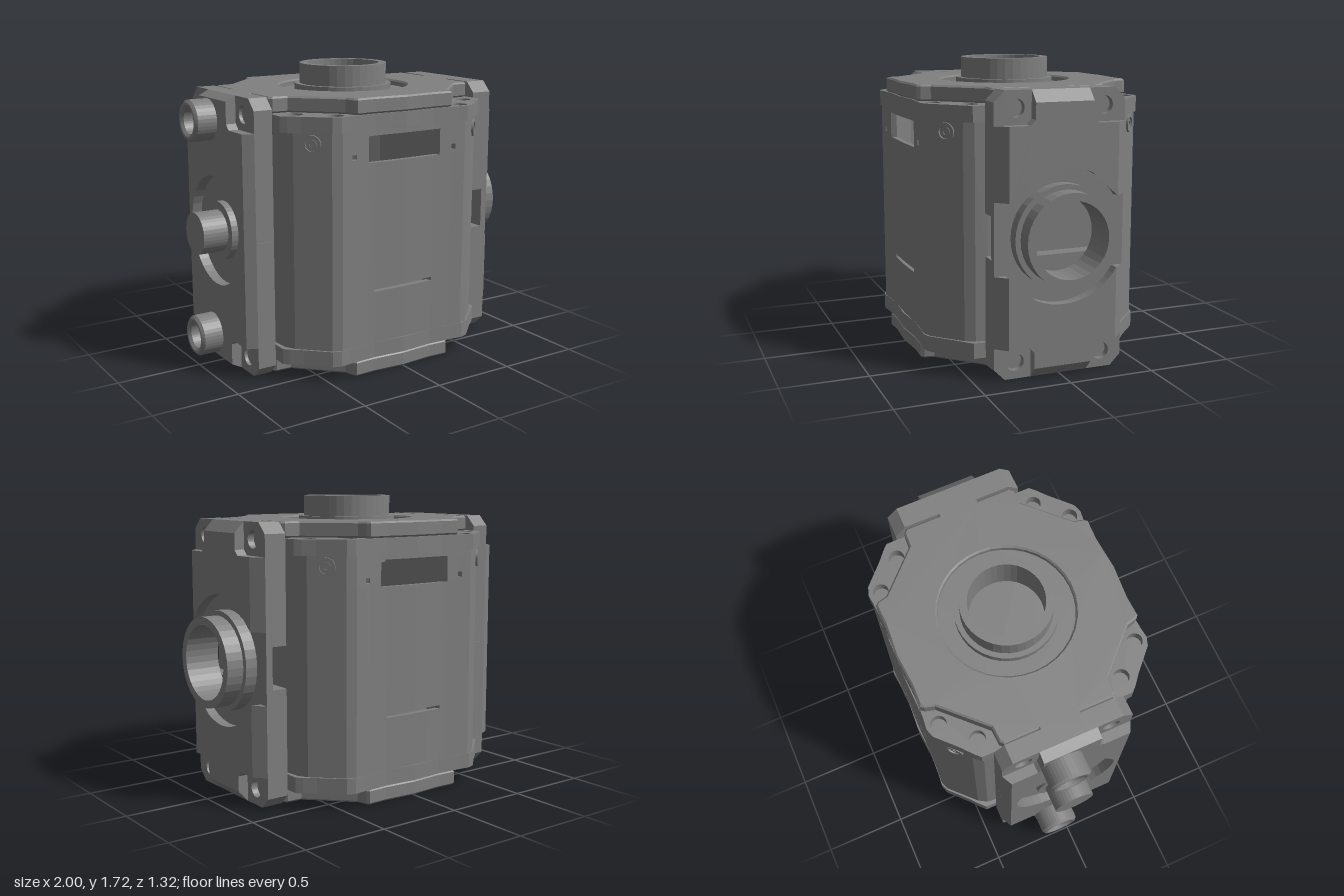
import * as THREE from 'three';
import { mergeGeometries } from 'three/addons/utils/BufferGeometryUtils.js';

const H = 1.59, MID = H / 2;
const grey = new THREE.MeshStandardMaterial({ color: 0x808080 });
grey.name = 'machined grey';

const shapeOf = (pts) => new THREE.Shape(pts.map(([x, y]) => new THREE.Vector2(x, y)));
const punch = (shape, x, y, r) => {
  shape.holes.push(new THREE.Path().absarc(x, y, r, 0, Math.PI * 2, true));
  return shape;
};
const disc = (r, hole = 0, x = 0, y = 0) => {
  const s = new THREE.Shape().absarc(x, y, r, 0, Math.PI * 2, false);
  return hole ? punch(s, x, y, hole) : s;
};
const extrude = (shape, a, b, bevel = 0) => new THREE.ExtrudeGeometry(shape, {
  depth: b - a - 2 * bevel, curveSegments: 18, bevelEnabled: bevel > 0, bevelSegments: 1,
  bevelSize: bevel, bevelThickness: bevel, bevelOffset: -bevel,
}).translate(0, 0, a + bevel);
// Slabs stacked along y (shape in x, -z) or along x (shape in -z, y)
const slabY = (shape, a, b, bevel) => extrude(shape, a, b, bevel).rotateX(-Math.PI / 2);
const slabX = (shape, a, b, bevel) => extrude(shape, a, b, bevel).rotateY(Math.PI / 2);

function add(parent, name, geometry) {
  const mesh = new THREE.Mesh(geometry, grey);
  mesh.name = name;
  parent.add(mesh);
  return mesh;
}

// Mirrors a quarter outline (from the side towards the front) into a closed loop
function fourFold(q) {
  const flip = (sx, sy) => q.map(([x, y]) => [x * sx, y * sy]);
  const loop = [...q, ...flip(-1, 1).reverse(), ...flip(-1, -1), ...flip(1, -1).reverse()];
  return loop.filter(([x, y], i) => {
    const [px, py] = loop[(i + loop.length - 1) % loop.length];
    return Math.hypot(x - px, y - py) > 1e-6;
  });
}

const capEdge = [[0.785, 0.12], [0.69, 0.12], [0.69, 0.45], [0.66, 0.48], [0.60, 0.53], [0.48, 0.645],
  [0.43, 0.662], [0.37, 0.655], [0.2, 0.645], [0.1, 0.652], [0, 0.66]];
const capRaised = [[0.785, 0.12], [0.69, 0.12], [0.69, 0.32], [0.67, 0.34], [0.58, 0.345], [0.35, 0.575],
  [0.335, 0.63], [0.32, 0.65], [0.2, 0.645], [0.1, 0.652], [0, 0.66]];
const bodyEdge = [[0.67, 0.36], [0.662, 0.43], [0.63, 0.485], [0.475, 0.635], [0.42, 0.656], [0.355, 0.652],
  [0.325, 0.65], [0.245, 0.646], [0.2, 0.645], [0.1, 0.648], [0, 0.65]];

// End cap with lowered corner pads and bolt holes
function endCap(name, recess) {
  const cap = new THREE.Group();
  cap.name = name;
  const pads = shapeOf(fourFold(capEdge));
  for (const sx of [-1, 1]) for (const sz of [-1, 1]) {
    punch(pads, sx * 0.425, sz * 0.59, 0.045);
    punch(pads, sx * 0.585, sz * 0.43, 0.045);
  }
  add(cap, 'capBase', slabY(shapeOf(fourFold(capEdge)), 0, 0.03));
  add(cap, 'cornerPads', slabY(pads, 0.03, 0.09));
  add(cap, 'raisedFace', slabY(punch(shapeOf(fourFold(capRaised)), 0, 0, recess), 0.09, 0.18, 0.01));
  return cap;
}

// Housing wall between two heights; cuts are |x| ranges opened in front and back
function wall(y0, y1, cuts) {
  const loop = fourFold(bodyEdge), parts = [];
  loop.forEach((p, i) => {
    const q = loop[(i + 1) % loop.length];
    const mx = Math.abs(p[0] + q[0]) / 2;
    if (cuts.some(([a, b]) => mx > a && mx < b)) return;
    const k = 0.95;
    parts.push(slabY(shapeOf([p, q, [q[0] * k, q[1] * k], [p[0] * k, p[1] * k]]), y0, y1));
  });
  return mergeGeometries(parts);
}

// Side plate, built facing +x, with chamfered edges, corner pockets and a round recess
function sidePlate(name, { floor, face, chamfer, recess, bore, notch }) {
  const plate = new THREE.Group();
  plate.name = name;
  const w = 0.385, c = 0.062;
  const octagon = (y0, y1, c0, c1) => shapeOf([[-w, y0 + c0], [-w + c0, y0], [w - c0, y0], [w, y0 + c0],
    [w, y1 - c1], [w - c1, y1], [c1 - w, y1], [-w, y1 - c1]].filter(
    ([x, y], i, l) => i === 0 || x !== l[i - 1][0] || y !== l[i - 1][1]));
  const gap = notch ? 0.12 : 0.001;
  add(plate, 'innerTop', slabX(octagon(MID + gap, H, 0, c), 0.7, 0.79));
  add(plate, 'innerBottom', slabX(octagon(0, MID - gap, c, 0), 0.7, 0.79));
  const web = octagon(0, H, c, c);
  for (const z of [-0.26, 0.26]) for (const y of [0.095, H - 0.095]) punch(web, z, y, 0.05);
  if (bore) punch(web, 0, MID, bore);
  add(plate, 'web', slabX(web, 0.79, floor));

  const zi = Math.min(recess, w - chamfer), h = Math.sqrt(recess ** 2 - zi ** 2), a0 = Math.atan2(h, zi);
  for (const s of [1, -1]) {
    const pts = [[w, h], [w, 0.61], [0.2, 0.61], [0.17, 0.64], [0.17, MID],
      [-0.17, MID], [-0.17, 0.64], [-0.2, 0.61], [-w, 0.61], [-w, h]];
    for (let i = 0; i <= 20; i++) {
      const a = Math.PI - a0 - (Math.PI - 2 * a0) * i / 20;
      pts.push([Math.cos(a) * recess, Math.sin(a) * recess]);
    }
    const g = slabX(shapeOf(pts.map(([z, y]) => [z, MID + s * y])), floor, face);
    const p = g.attributes.position;
    // Pull the outer rim inwards to form the chamfer
    for (let i = 0; i < p.count; i++) if (p.getX(i) > face - 1e-4) {
      p.setZ(i, THREE.MathUtils.clamp(p.getZ(i), chamfer - w, w - chamfer));
      p.setY(i, THREE.MathUtils.clamp(p.getY(i), chamfer, H - chamfer));
    }
    g.computeVertexNormals();
    add(plate, s > 0 ? 'outerTop' : 'outerBottom', g);
  }
  return plate;
}

export function createModel() {
  const model = new THREE.Group();
  model.name = 'pumpHousing';

  // Top cap with its round port
  const top = endCap('topCap', 0.385);
  top.position.y = 1.41;
  model.add(top);
  add(model, 'topRecessFloor', slabY(disc(0.39, 0.215), 1.48, 1.555));
  add(model, 'topCollar', slabY(disc(0.29, 0.215), 1.55, 1.6));
  add(model, 'topPort', slabY(disc(0.26, 0.215), 1.55, 1.72));
  add(model, 'topPortHub', slabY(disc(0.24), 1.32, 1.415));
  add(model, 'topPortHubRim', slabY(disc(0.25), 1.385, 1.412));
  add(model, 'innerStub', slabY(disc(0.13, 0, 0.11, 0), 1.275, 1.325));

  // Bottom cap with a drilled, sunken disc
  const bottom = endCap('bottomCap', 0.5);
  bottom.rotation.x = Math.PI;
  bottom.position.y = 0.18;
  model.add(bottom);
  const drilled = punch(disc(0.44), 0, 0, 0.012);
  for (let i = 0; i < 6; i++) {
    const a = (i + 0.5) * Math.PI / 3;
    punch(drilled, Math.cos(a) * 0.36, Math.sin(a) * 0.36, i % 2 ? 0.03 : 0.045);
  }
  add(model, 'bottomDisc', slabY(drilled, 0.04, 0.095));

  // Housing shell with windows, pinholes and slots
  const window = [0, 0.245], pin = [0.325, 0.355];
  const body = new THREE.Group();
  body.name = 'housing';
  model.add(body);
  [[0.175, 0.485, []], [0.485, 0.505, [[0, 0.2]]], [0.505, 1.23, []], [1.23, 1.255, [window]],
    [1.255, 1.285, [window, pin]], [1.285, 1.38, [window]], [1.38, 1.415, []],
  ].forEach(([a, b, cuts]) => add(body, 'housingWall', wall(a, b, cuts)));
  add(body, 'innerCore', slabY(disc(0.5), 0.17, 0.7));

  // Screws on the diagonal faces
  for (const sx of [-1, 1]) for (const sz of [-1, 1]) {
    const screw = new THREE.Group();
    screw.name = 'cornerScrew';
    add(screw, 'screwRim', extrude(disc(0.052, 0.036), -0.01, 0.012));
    add(screw, 'screwSocket', extrude(disc(0.026, 0.013), -0.01, 0.006));
    screw.position.set(sx * 0.555, 1.35, sz * 0.558);
    screw.rotation.y = Math.atan2(sx, sz);
    model.add(screw);
  }

  // Left plate with the large side port
  const left = sidePlate('leftPlate',
    { floor: 0.83, face: 0.89, chamfer: 0.064, recess: 0.38, bore: 0.215, notch: true });
  add(left, 'portCollar', slabX(disc(0.29, 0.215), 0.82, 0.9).translate(0, MID, 0));
  add(left, 'sidePort', slabX(disc(0.26, 0.215), 0.82, 1).translate(0, MID, 0));
  model.add(left);

  // Right plate with the shaft and two hollow posts
  const right = sidePlate('rightPlate',
    { floor: 0.81, face: 0.87, chamfer: 0.03, recess: 0.32, bore: 0, notch: false });
  add(right, 'shaftCollar', slabX(disc(0.17), 0.8, 0.85).translate(0, MID, 0));
  add(right, 'shaft', slabX(disc(0.122), 0.8, 1).translate(0, MID, 0));
  for (const y of [0.16, H - 0.155]) {
    add(right, 'post', slabX(disc(0.12, 0.075), 0.75, 1, 0.015).translate(0, y, 0.06));
    add(right, 'postCore', slabX(disc(0.085), 0.8, 0.92).translate(0, y, 0.06));
  }
  right.rotation.y = Math.PI;
  model.add(right);

  return model;
}
